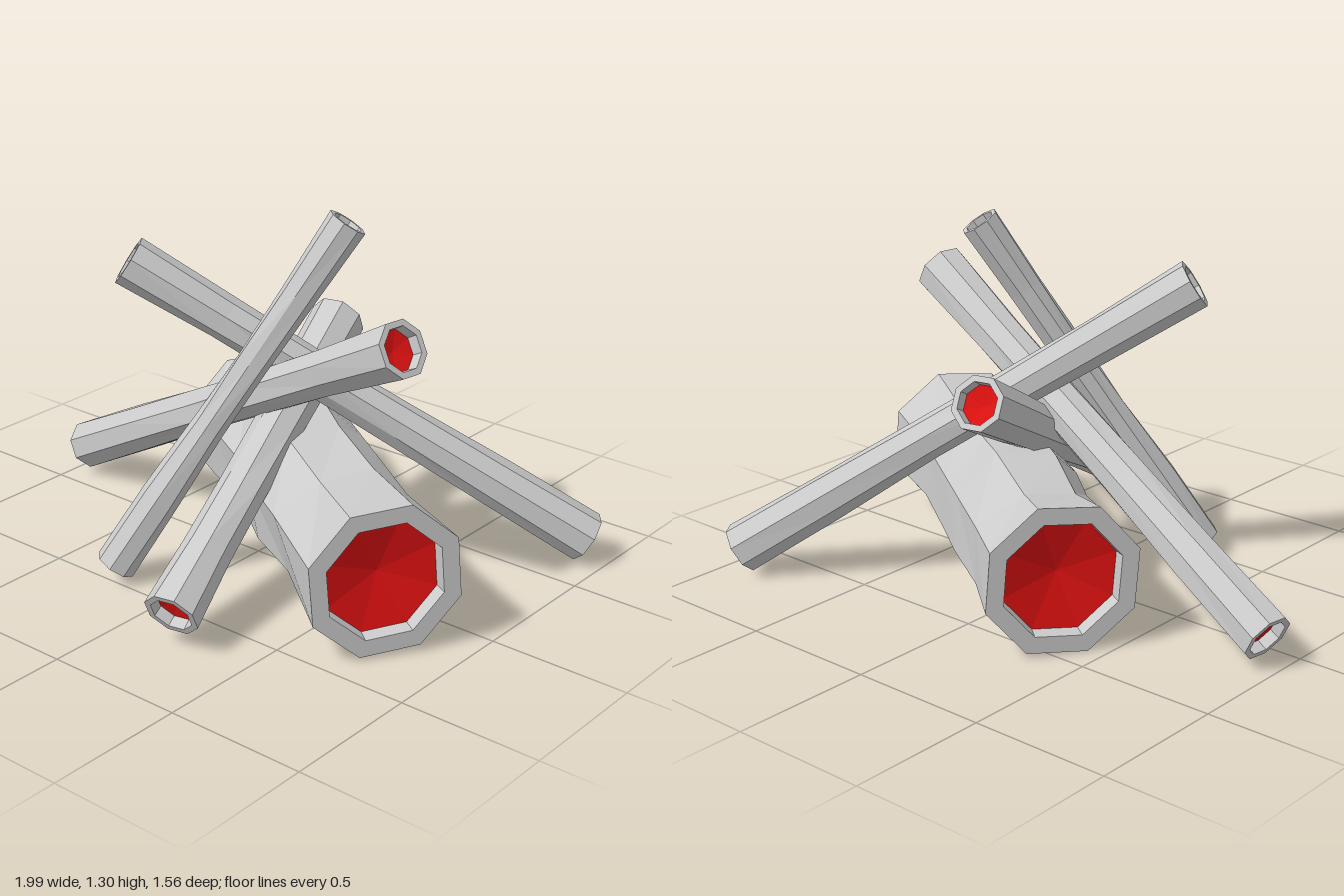
import * as THREE from 'three';

const SIDES = 8;

function seeded(seed) {
  let s = seed;
  return () => ((s = (s * 16807) % 2147483647) / 2147483647) - 0.5;
}

// triangle list -> flat-shaded mesh
function facetMesh(triangles, color, name) {
  const geometry = new THREE.BufferGeometry().setFromPoints(triangles);
  geometry.computeVertexNormals();
  const mesh = new THREE.Mesh(geometry, new THREE.MeshStandardMaterial({ color, flatShading: true }));
  mesh.name = name;
  return mesh;
}

// Eight-sided log between two points, with a rim and a recessed core at each end
function makeLog({ name, from, to, radius, endRadius = radius, profile, recess, jitter, twist = 0, seed }) {
  const start = new THREE.Vector3(...from);
  const end = new THREE.Vector3(...to);
  const axis = end.clone().sub(start);
  const length = axis.length();
  axis.normalize();
  const across = new THREE.Vector3(0, 1, 0).cross(axis).normalize();
  const upward = axis.clone().cross(across);
  const random = seeded(seed);

  const at = (dist, r, angle) => start.clone()
    .addScaledVector(axis, dist)
    .addScaledVector(across, r * Math.cos(angle))
    .addScaledVector(upward, r * Math.sin(angle));

  const ring = (dist, r, wobble = 0) => Array.from({ length: SIDES }, (_, j) =>
    at(dist + random() * wobble * 2, r + random() * wobble, twist + ((j + 0.5) / SIDES) * Math.PI * 2));

  // cross-sections from one recess, over the bark, to the other recess
  const r0 = radius, r1 = endRadius, inner = 0.77;
  const rings = [ring(recess, r0 * inner * 0.97), ring(0, r0 * inner)];
  profile.forEach(([t, scale]) => {
    const isEnd = t === 0 || t === 1;
    rings.push(ring(t * length, THREE.MathUtils.lerp(r0, r1, t) * scale, isEnd ? 0 : jitter));
  });
  rings.push(ring(length, r1 * inner), ring(length - recess, r1 * inner * 0.97));

  const bark = [], core = [];
  const coreStart = at(recess + r0 * 0.15, 0, 0);
  const coreEnd = at(length - recess - r1 * 0.15, 0, 0);
  const last = rings[rings.length - 1];
  for (let j = 0; j < SIDES; j++) {
    const k = (j + 1) % SIDES;
    for (let i = 0; i < rings.length - 1; i++) {
      const a = rings[i][j], b = rings[i][k], c = rings[i + 1][k], d = rings[i + 1][j];
      bark.push(a, b, c, a, c, d);
    }
    core.push(coreStart, rings[0][k], rings[0][j], coreEnd, last[j], last[k]);
  }

  const log = new THREE.Group();
  log.name = name;
  log.add(facetMesh(bark, 0xcccccc, 'bark'), facetMesh(core, 0xdd1111, 'endCores'));
  return log;
}

export function createModel() {
  const model = new THREE.Group();
  model.name = 'logPile';

  // thick log lying on the ground
  model.add(makeLog({
    name: 'largeLog', from: [-0.395, 0.27, -0.47], to: [0.79, 0.28, 0.31], radius: 0.272,
    profile: [[0, 1], [0.15, 0.91], [0.36, 0.93], [0.52, 0.92], [0.73, 0.9], [1, 1]],
    recess: 0.05, jitter: 0.035, twist: 0.08, seed: 11,
  }));

  // thin logs leaning across it
  const stickProfile = [[0, 1], [0.2, 0.95], [0.42, 0.85], [0.6, 0.84], [0.8, 0.88], [1, 1]];
  [
    { name: 'longStick', from: [-0.955, 0.115, -0.125], to: [0.7, 0.995, 0.13], radius: 0.093, endRadius: 0.098 },
    { name: 'steepStick', from: [-0.235, 0.07, 0.485], to: [0.305, 1.275, -0.09], radius: 0.072, endRadius: 0.069 },
    { name: 'backStick', from: [0.92, 0.1, -0.695], to: [-0.345, 1.095, 0.27], radius: 0.092, endRadius: 0.088 },
    { name: 'frontStick', from: [0.005, 0.775, -0.435], to: [0.255, 0.15, 0.735], radius: 0.098, endRadius: 0.096 },
  ].forEach((stick, i) => model.add(makeLog({
    profile: stickProfile, recess: 0.04, jitter: 0.01, seed: 37 + i * 101, ...stick,
  })));

  return model;
}
